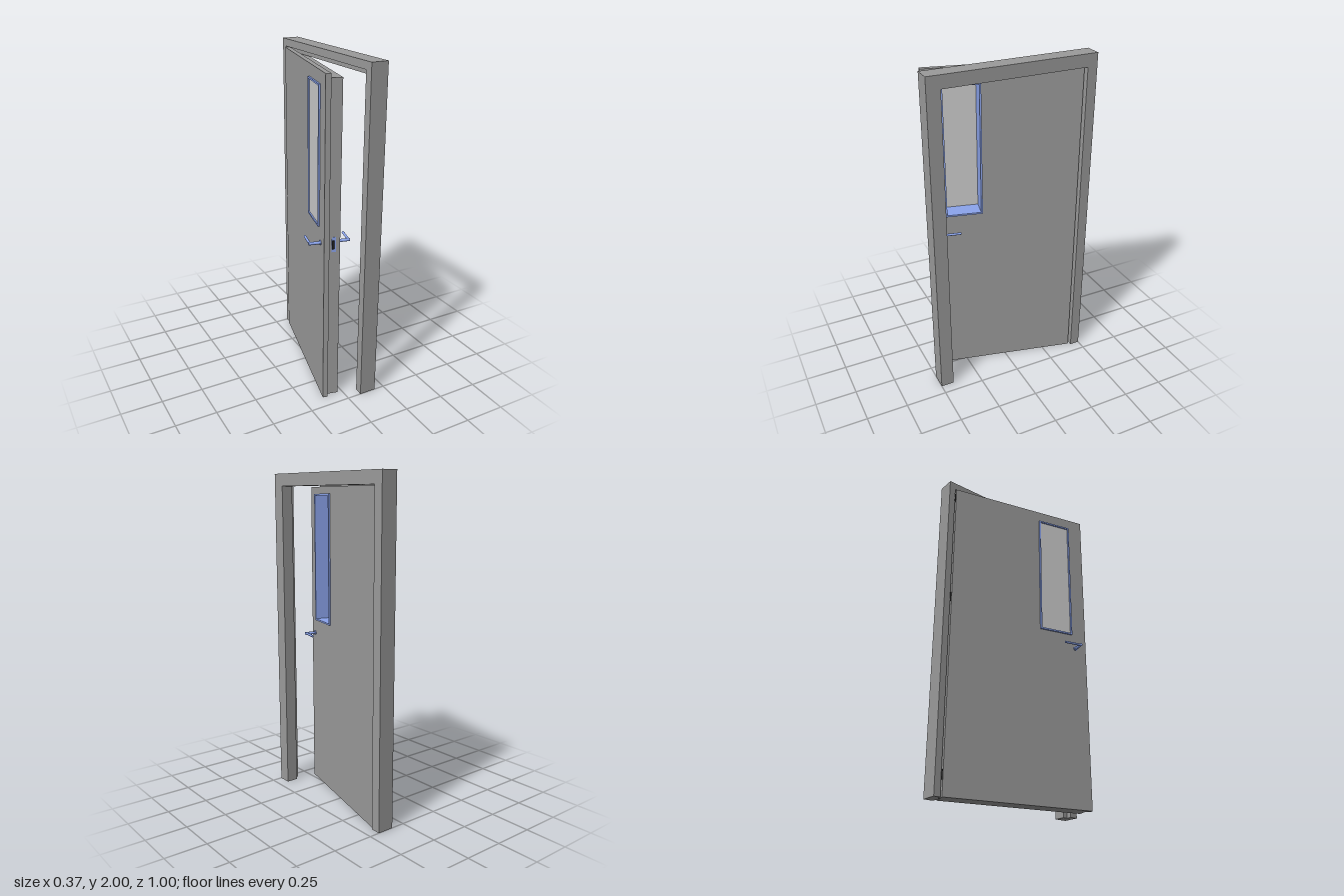
import * as THREE from 'three';

const grey = new THREE.MeshStandardMaterial({ color: 0x9a9a9a });
const blue = new THREE.MeshStandardMaterial({ color: 0x8ba4ec });
const dark = new THREE.MeshStandardMaterial({ color: 0x333333 });
const pane = new THREE.MeshStandardMaterial({ color: 0xcccccc });

function add(parent, name, geometry, material, x = 0, y = 0, z = 0) {
  const mesh = new THREE.Mesh(geometry, material);
  mesh.name = name;
  mesh.position.set(x, y, z);
  parent.add(mesh);
}

const polygon = (Type, points) => new Type(points.map(([a, b]) => new THREE.Vector2(a, b)));
const rect = (Type, z0, z1, y0, y1) => polygon(Type, [[z0, y0], [z1, y0], [z1, y1], [z0, y1]]);

// Extrudes a (z, y) outline from x0 to x1
function slab(shape, x0, x1) {
  return new THREE.ExtrudeGeometry(shape, { depth: x1 - x0, bevelEnabled: false })
    .rotateY(-Math.PI / 2).translate(x1, 0, 0);
}

// Door surround open at the bottom
function surround(zBack, zFront, top) {
  return polygon(THREE.Shape, [[-0.5, 0], [zBack, 0], [zBack, top], [zFront, top],
    [zFront, 0], [0.5, 0], [0.5, 2], [-0.5, 2]]);
}

// Lever handle: rose, spindle and return lever; side is -1 outside, 1 inside
function handle(name, face, side) {
  const group = new THREE.Group();
  group.name = name;
  group.position.set(face, 0.997, 0.828);
  const rod = (length, radius) => new THREE.CylinderGeometry(radius, radius, length, 20);
  add(group, 'rose', rod(0.006, 0.014).rotateZ(Math.PI / 2), blue, side * 0.003);
  add(group, 'spindle', rod(0.07, 0.009).rotateZ(Math.PI / 2), blue, side * 0.035);
  add(group, 'lever', rod(0.11, 0.007).rotateX(Math.PI / 2), blue, side * 0.063, 0, -0.051);
  return group;
}

export function createModel() {
  const model = new THREE.Group();
  model.name = 'door';

  // Frame: stop part and wider rebate part
  const frame = new THREE.Group();
  frame.name = 'doorFrame';
  add(frame, 'frameStop', slab(surround(-0.44, 0.42, 1.925), 0.115, 0.187), grey);
  add(frame, 'frameRebate', slab(surround(-0.46, 0.45, 1.955), 0.085, 0.115), grey);
  model.add(frame);

  // Leaf group: z runs from hinge to leading edge, x from outer to inner face
  const leaf = new THREE.Group();
  leaf.name = 'doorLeaf';
  leaf.position.set(0.077, 0, -0.455);
  leaf.rotation.y = THREE.MathUtils.degToRad(-13.5);
  model.add(leaf);

  // Overlapping outer panel and thicker core, both pierced by the window
  const win = [0.583, 0.803, 1.085, 1.88];
  const panel = (z0, z1, top) => {
    const shape = rect(THREE.Shape, z0, z1, 0, top);
    shape.holes.push(rect(THREE.Path, ...win));
    return shape;
  };
  add(leaf, 'outerPanel', slab(panel(0, 0.9, 1.95), 0, 0.03), grey);
  add(leaf, 'doorCore', slab(panel(0.005, 0.873, 1.922), 0.03, 0.1), grey);

  // Window lining, slightly proud of both faces, with the pane near the outer face
  const [z0, z1, y0, y1] = win;
  const rim = 0.01;
  const opening = [z0 + rim, z1 - rim, y0 + rim, y1 - rim];
  const lining = rect(THREE.Shape, ...win);
  lining.holes.push(rect(THREE.Path, ...opening));
  add(leaf, 'windowFrame', slab(lining, -0.01, 0.11), blue);
  add(leaf, 'windowPane', slab(rect(THREE.Shape, ...opening), -0.002, 0.004), pane);

  leaf.add(handle('outerHandle', 0, -1), handle('innerHandle', 0.1, 1));

  // Lock plate and bevelled latch bolt on the leading edge
  add(leaf, 'lockPlate', new THREE.BoxGeometry(0.024, 0.09, 0.003), blue, 0.063, 0.997, 0.873);
  const wedge = polygon(THREE.Shape, [[0.052, -0.886], [0.07, -0.872], [0.052, -0.872]]);
  const bolt = new THREE.ExtrudeGeometry(wedge, { depth: 0.05, bevelEnabled: false })
    .rotateX(-Math.PI / 2);
  add(leaf, 'latchBolt', bolt, dark, 0, 0.972, 0);

  // Hinge knuckles in the gap between leaf and frame
  for (const y of [0.12, 1.18, 1.89]) {
    add(model, 'hinge', new THREE.CylinderGeometry(0.005, 0.005, 0.055, 16), dark, 0.087, y, -0.457);
  }
  return model;
}
